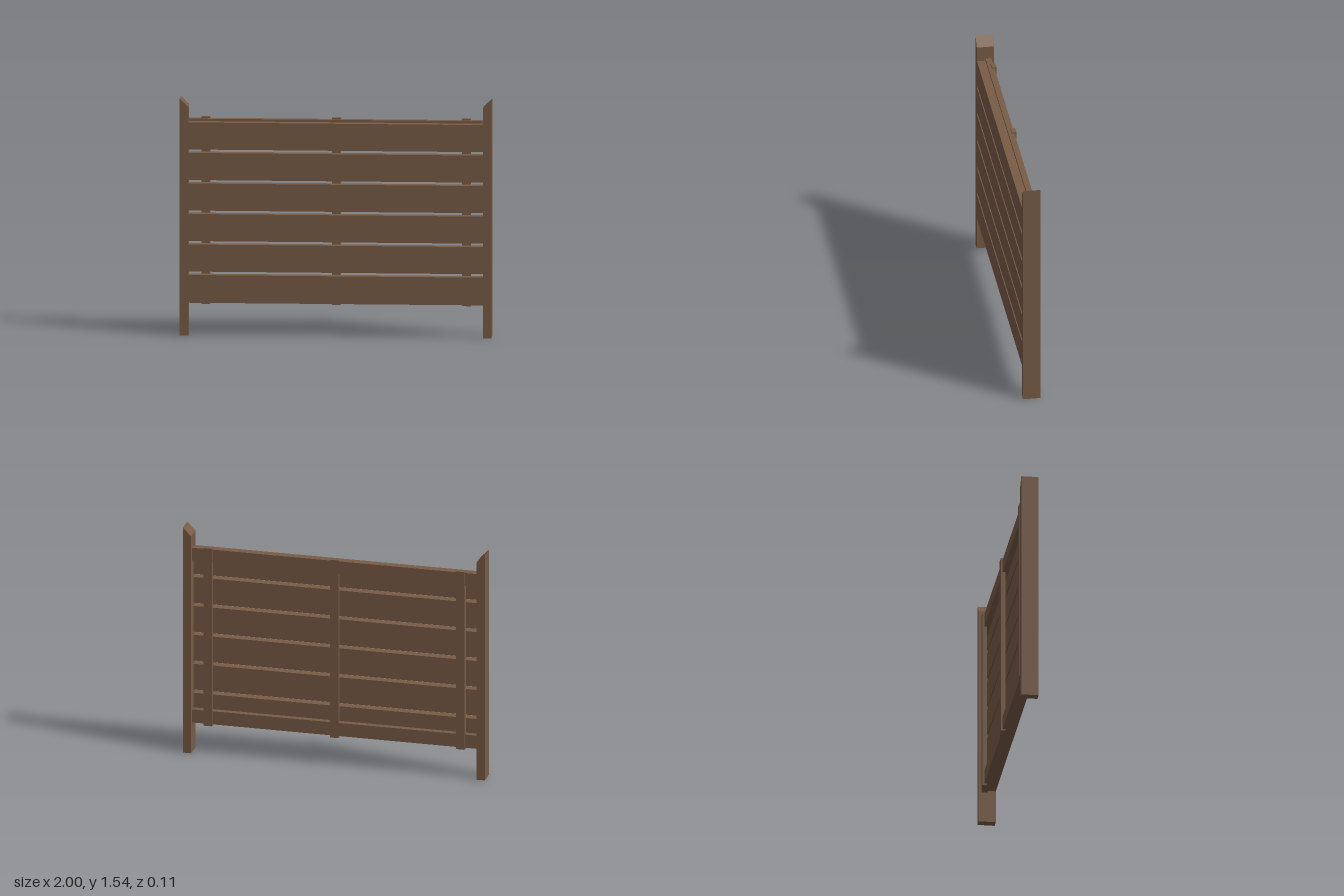
import * as THREE from 'three';

export function createModel() {
  const model = new THREE.Group();
  model.name = 'fencePanel';
  const wood = new THREE.MeshStandardMaterial({ color: 0x785b46 });
  wood.name = 'brown wood';

  // Box given by its low and high limits on each axis
  const addBox = (name, [x0, x1], [y0, y1], [z0, z1]) => {
    const mesh = new THREE.Mesh(new THREE.BoxGeometry(x1 - x0, y1 - y0, z1 - z0), wood);
    mesh.position.set((x0 + x1) / 2, (y0 + y1) / 2, (z0 + z1) / 2);
    mesh.name = name;
    model.add(mesh);
  };

  const inner = 0.945; // inner face of the posts
  const half = 0.056; // half the post depth

  // Posts with tops cut to slope down toward the panel
  for (const side of [-1, 1]) {
    const outline = new THREE.Shape(
      [[inner, 0], [1, 0], [1, 1.543], [inner, 1.488]].map(([x, y]) => new THREE.Vector2(side * x, y))
    );
    const geometry = new THREE.ExtrudeGeometry(outline, { depth: half * 2, bevelEnabled: false });
    geometry.translate(0, 0, -half);
    const post = new THREE.Mesh(geometry, wood);
    post.name = side > 0 ? 'leftPost' : 'rightPost';
    model.add(post);
  }

  // Six wide horizontal boards, flush with the front of the posts
  for (let i = 0; i < 6; i++) {
    const bottom = 0.219 + i * 0.1985;
    addBox(`board${i + 1}`, [-inner, inner], [bottom, bottom + 0.176], [0, 0.055]);
  }

  // Rails behind the top and bottom boards
  addBox('bottomRail', [-inner, inner], [0.205, 0.295], [-0.038, 0]);
  addBox('topRail', [-inner, inner], [1.315, 1.403], [-0.038, 0]);

  // Upright battens let into the back of the rails
  for (const x of [-0.837, 0, 0.837]) {
    addBox('batten', [x - 0.028, x + 0.028], [0.195, 1.413], [-0.05, -0.021]);
  }

  return model;
}
